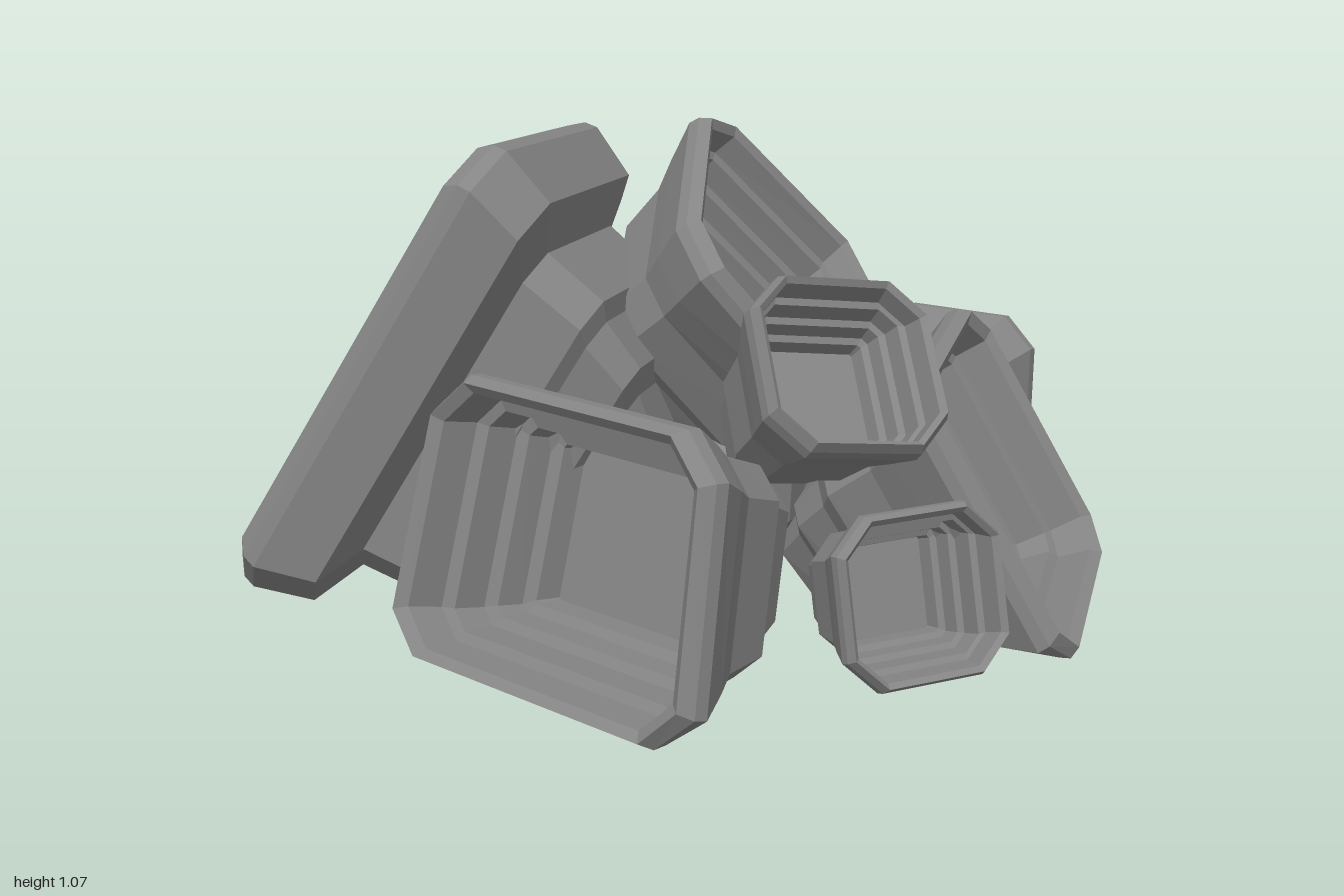
import * as THREE from 'three';

const material = new THREE.MeshStandardMaterial({ color: 0x858585, flatShading: true });

// Outside of a cup from root to lip: [scale, share of the length behind the mouth]
const FLARED = [
  [0.30, 1.0], [0.42, 0.86], [0.52, 0.82], [0.62, 0.66], [0.71, 0.60],
  [0.78, 0.38], [0.88, 0.26], [1.0, 0.10], [0.99, 0.05],
];
// Same, with a deep flange around the mouth and a sharp set-back behind it
const FLANGED = [
  [0.30, 1.0], [0.42, 0.88], [0.53, 0.84], [0.62, 0.66], [0.69, 0.62],
  [0.73, 0.37], [0.92, 0.31], [1.0, 0.10], [0.99, 0.05],
];
// Stepped inside from lip to floor: [scale, share of the bowl depth, corner cut factor]
const BOWL = [
  [0.94, 0.0, 1], [0.88, 0.06, 0.95], [0.84, 0.31, 0.8], [0.77, 0.34, 0.6], [0.74, 0.57, 0.5],
  [0.67, 0.60, 0.35], [0.64, 0.79, 0.25], [0.57, 0.82, 0.15], [0.54, 1.0, 0.1],
];

// Rectangle with cut corners, counter-clockwise
function cutRectangle(w, h, c) {
  const x = w / 2, y = h / 2;
  return [[x, -y + c], [x, y - c], [x - c, y], [-x + c, y], [-x, y - c], [-x, -y + c], [-x + c, -y], [x - c, -y]];
}

function cupGeometry({ mouth, facing, across, w, h, length, bowl, cut, taper = 0, outside = FLARED }) {
  const n = new THREE.Vector3(...facing).normalize();
  const u = new THREE.Vector3(...across);
  u.addScaledVector(n, -u.dot(n)).normalize();
  const v = new THREE.Vector3().crossVectors(n, u);
  const rings = [
    ...outside.map(([s, d]) => [s, d * length, 1]),
    ...BOWL.map(([s, d, corner]) => [s, d * bowl, corner]),
  ];

  const positions = [], index = [];
  for (const [scale, depth, corner] of rings) {
    const c = cut * Math.min(w, h) * scale * corner;
    for (const [a, b] of cutRectangle(w * scale, h * scale, c)) {
      const p = new THREE.Vector3(...mouth)
        .addScaledVector(u, a * (1 - taper * b / h)).addScaledVector(v, b).addScaledVector(n, -depth);
      // Rest flat on the ground
      positions.push(p.x, Math.max(p.y, 0.005), p.z);
    }
  }
  for (let r = 0; r < rings.length - 1; r++) {
    for (let i = 0; i < 8; i++) {
      const a = r * 8 + i, b = r * 8 + (i + 1) % 8;
      index.push(a, b, b + 8, a, b + 8, a + 8);
    }
  }
  // Root cap and floor
  const last = (rings.length - 1) * 8;
  for (let i = 1; i < 7; i++) {
    index.push(0, i + 1, i);
    index.push(last, last + i, last + i + 1);
  }
  const geometry = new THREE.BufferGeometry();
  geometry.setAttribute('position', new THREE.Float32BufferAttribute(positions, 3));
  geometry.setIndex(index);
  const flat = geometry.toNonIndexed();
  flat.computeVertexNormals();
  return flat;
}

// Cups radiating from a shared root
const CUPS = [
  { name: 'largeRightCup', mouth: [-0.60, 0.575, -0.335], facing: [-0.76, 0.51, -0.37], across: [-0.40, 0.06, 0.91], w: 0.82, h: 1.17, length: 0.62, bowl: 0.34, cut: 0.11, outside: FLANGED },
  { name: 'frontRightCup', mouth: [-0.37, 0.31, 0.445], facing: [-0.74, 0.23, 0.62], across: [0.64, 0, 0.77], w: 0.82, h: 0.63, length: 0.64, bowl: 0.33, cut: 0.14, taper: 0.12 },
  { name: 'backCup', mouth: [0.155, 0.295, -0.725], facing: [0, 0.2, -0.98], across: [-1, 0, 0], w: 0.81, h: 0.59, length: 0.56, bowl: 0.34, cut: 0.14, outside: FLANGED },
  { name: 'leftCup', mouth: [0.735, 0.325, 0.14], facing: [0.775, 0.50, 0.40], across: [0.44, 0.05, -0.90], w: 0.72, h: 0.70, length: 0.56, bowl: 0.31, cut: 0.11 },
  { name: 'topCup', mouth: [0.27, 0.76, -0.18], facing: [0.707, 0.593, 0.368], across: [0.21, 0.32, -0.92], w: 0.74, h: 0.64, length: 0.54, bowl: 0.23, cut: 0.14, taper: 0.2 },
  { name: 'smallUpperCup', mouth: [0.27, 0.68, 0.43], facing: [0.27, 0.62, 0.73], across: [0.94, -0.15, -0.25], w: 0.41, h: 0.39, length: 0.50, bowl: 0.19, cut: 0.2 },
  { name: 'smallLowerCup', mouth: [0.40, 0.215, 0.565], facing: [0.25, 0.26, 0.93], across: [0.96, 0, -0.26], w: 0.38, h: 0.36, length: 0.40, bowl: 0.2, cut: 0.2 },
  { name: 'backLeftCup', mouth: [0.81, 0.28, -0.565], facing: [0.68, -0.02, -0.73], across: [-0.73, 0, -0.68], w: 0.41, h: 0.51, length: 0.54, bowl: 0.27, cut: 0.18 },
];

export function createModel() {
  const model = new THREE.Group();
  model.name = 'cupCluster';
  for (const cup of CUPS) {
    const mesh = new THREE.Mesh(cupGeometry(cup), material);
    mesh.name = cup.name;
    model.add(mesh);
  }
  return model;
}
